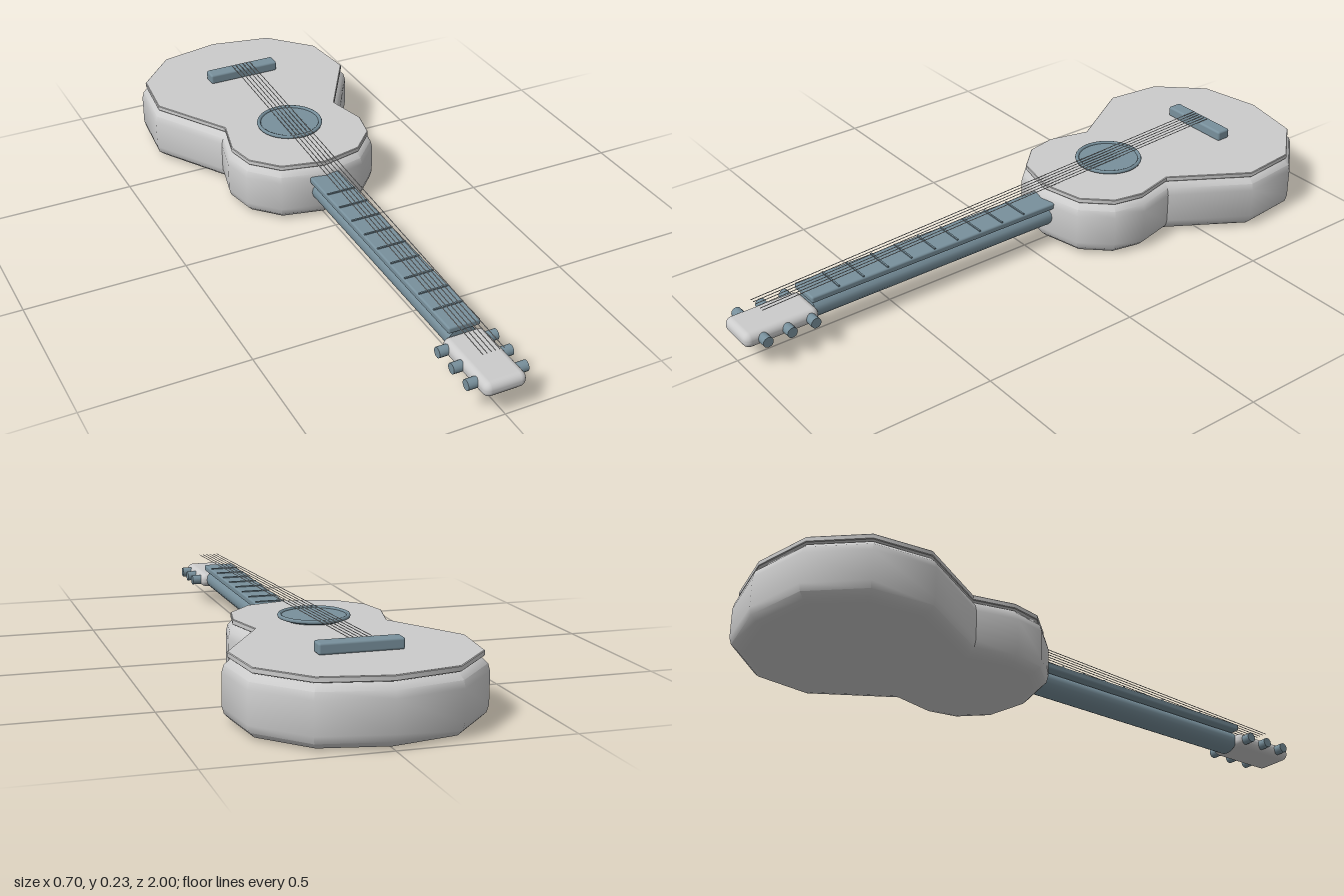
import * as THREE from 'three';
import { toCreasedNormals } from 'three/addons/utils/BufferGeometryUtils.js';
import { RoundedBoxGeometry } from 'three/addons/geometries/RoundedBoxGeometry.js';

const light = new THREE.MeshStandardMaterial({ color: 0xcccccc });
const dark = new THREE.MeshStandardMaterial({ color: 0x78909c });

// Half outline of the body as [x, z], from tail to neck
const HALF = [
  [0, -1], [0.2, -0.96], [0.33, -0.82], [0.35, -0.635], [0.21, -0.405],
  [0.24, -0.28], [0.22, -0.18], [0.14, -0.095], [0, -0.063],
];

export function createModel() {
  const model = new THREE.Group();

  const add = (name, geometry, material, x = 0, y = 0, z = 0) => {
    const mesh = new THREE.Mesh(geometry, material);
    mesh.name = name;
    mesh.position.set(x, y, z);
    model.add(mesh);
    return mesh;
  };

  // Mirrored outline, extruded upwards from y = 0
  const mirrored = HALF.slice(1, -1).reverse().map(([x, z]) => [-x, z]);
  const outline = new THREE.Shape(
    [...HALF, ...mirrored].map(([x, z]) => new THREE.Vector2(x, -z)));
  const slab = (height, bevel, inset, segments) => {
    const geometry = new THREE.ExtrudeGeometry(outline, {
      depth: height - 2 * bevel, bevelThickness: bevel, bevelSize: bevel,
      bevelOffset: -bevel - inset, bevelSegments: segments,
    });
    geometry.translate(0, 0, bevel).rotateX(-Math.PI / 2);
    return toCreasedNormals(geometry, 0.7);
  };

  // Body with rounded edges and a thin top plate
  add('body', slab(0.175, 0.042, 0, 3), light);
  add('topPlate', slab(0.016, 0.002, 0.014, 1), light, 0, 0.174, 0);

  // Sound hole disc and its rim
  add('soundHole', new THREE.CylinderGeometry(0.098, 0.085, 0.012, 32), dark, 0, 0.195, -0.335);
  add('soundHoleRim', new THREE.TorusGeometry(0.099, 0.006, 8, 40).rotateX(Math.PI / 2),
    dark, 0, 0.201, -0.335);

  // Bridge
  add('bridge', new RoundedBoxGeometry(0.24, 0.033, 0.047, 2, 0.007), dark, 0, 0.2055, -0.725);

  // Neck with an oval section, and the fingerboard on it
  const neck = new THREE.CylinderGeometry(1, 1, 0.86, 16).rotateX(Math.PI / 2);
  neck.scale(0.045, 0.036, 1);
  add('neck', neck, dark, 0, 0.092, 0.34);
  add('fingerboard', new RoundedBoxGeometry(0.1, 0.021, 0.86, 2, 0.006), dark, 0, 0.135, 0.35);

  // Frets
  for (let i = 0; i < 9; i++) {
    add('fret', new THREE.BoxGeometry(0.092, 0.006, 0.005), dark, 0, 0.146, 0.69 - i * 0.0815);
  }

  // Head with three tuning pegs on each side
  add('head', new RoundedBoxGeometry(0.13, 0.046, 0.235, 4, 0.021), light, 0, 0.09, 0.8825);
  for (const side of [-1, 1]) {
    for (const z of [0.795, 0.87, 0.945]) {
      add('tuningPeg', new THREE.CylinderGeometry(0.016, 0.016, 0.04, 14).rotateZ(Math.PI / 2),
        dark, side * 0.072, 0.09, z);
    }
  }

  // Six strings running from the bridge down to the head
  const from = new THREE.Vector3(0, 0.228, -0.73);
  const to = new THREE.Vector3(0, 0.155, 0.925);
  const along = to.clone().sub(from);
  const middle = from.clone().add(to).multiplyScalar(0.5);
  const string = new THREE.CylinderGeometry(0.0013, 0.0013, along.length(), 6);
  for (let i = 0; i < 6; i++) {
    const mesh = add('string', string, light, (i - 2.5) * 0.013, middle.y, middle.z);
    mesh.quaternion.setFromUnitVectors(new THREE.Vector3(0, 1, 0), along.clone().normalize());
  }

  return model;
}
